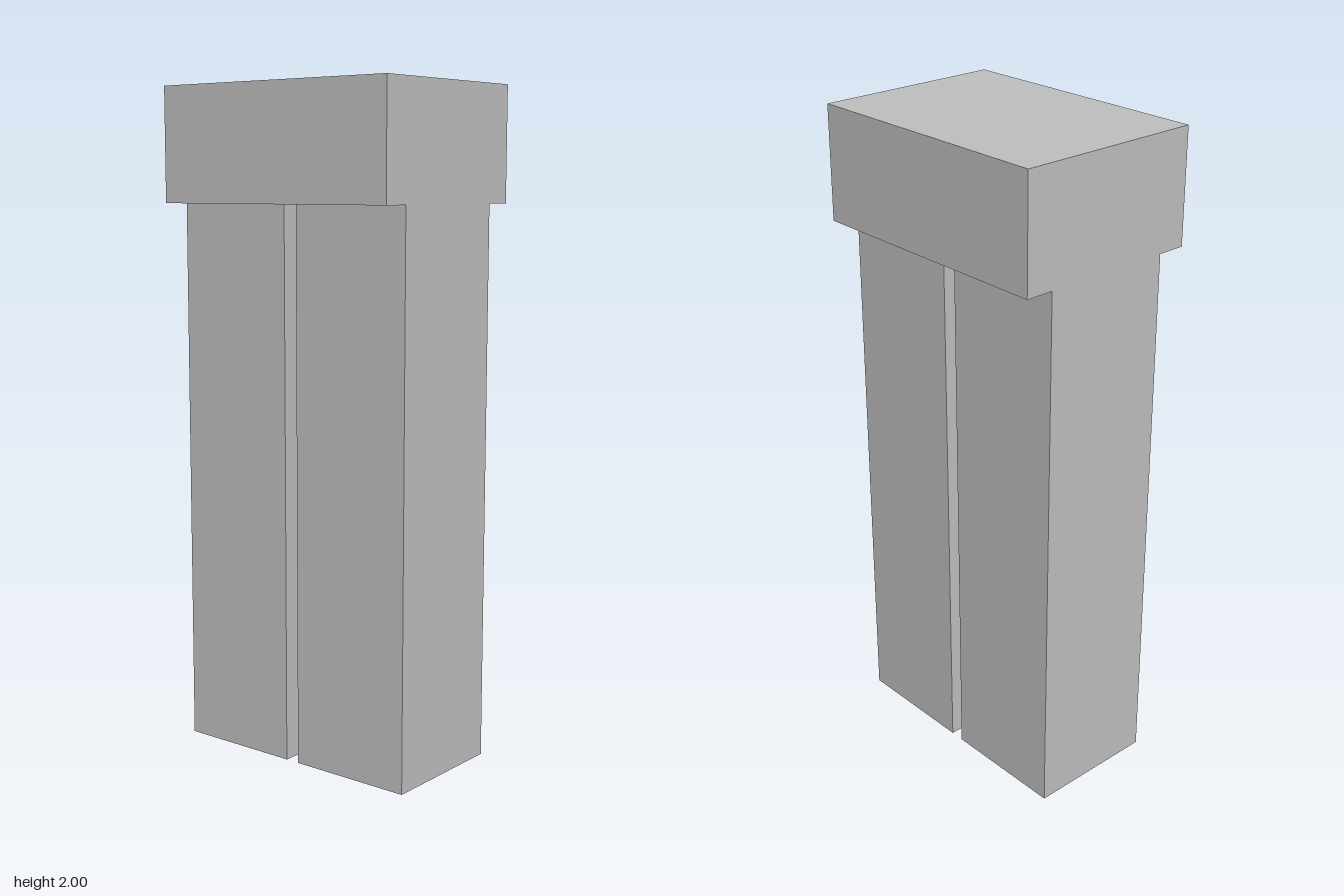
import * as THREE from 'three';

export function createModel() {
  const model = new THREE.Group();
  model.name = 'twoLeggedPillar';
  const grey = new THREE.MeshStandardMaterial({ color: 0xc0c0c0 });
  grey.name = 'light grey';

  const height = 2, capBottom = 1.66, halfDepth = 0.408, halfGap = 0.022;

  function addBlock(name, width, y0, y1, z0, z1) {
    const block = new THREE.Mesh(new THREE.BoxGeometry(width, y1 - y0, z1 - z0), grey);
    block.name = name;
    block.position.set(0, (y0 + y1) / 2, (z0 + z1) / 2);
    model.add(block);
  }

  // Wide cap, flush with the legs at front and back
  addBlock('cap', 0.58, capBottom, height, -halfDepth, halfDepth);

  // Two legs with a narrow slot between them
  addBlock('frontLeg', 0.406, 0, capBottom, halfGap, halfDepth);
  addBlock('backLeg', 0.406, 0, capBottom, -halfDepth, -halfGap);

  return model;
}
